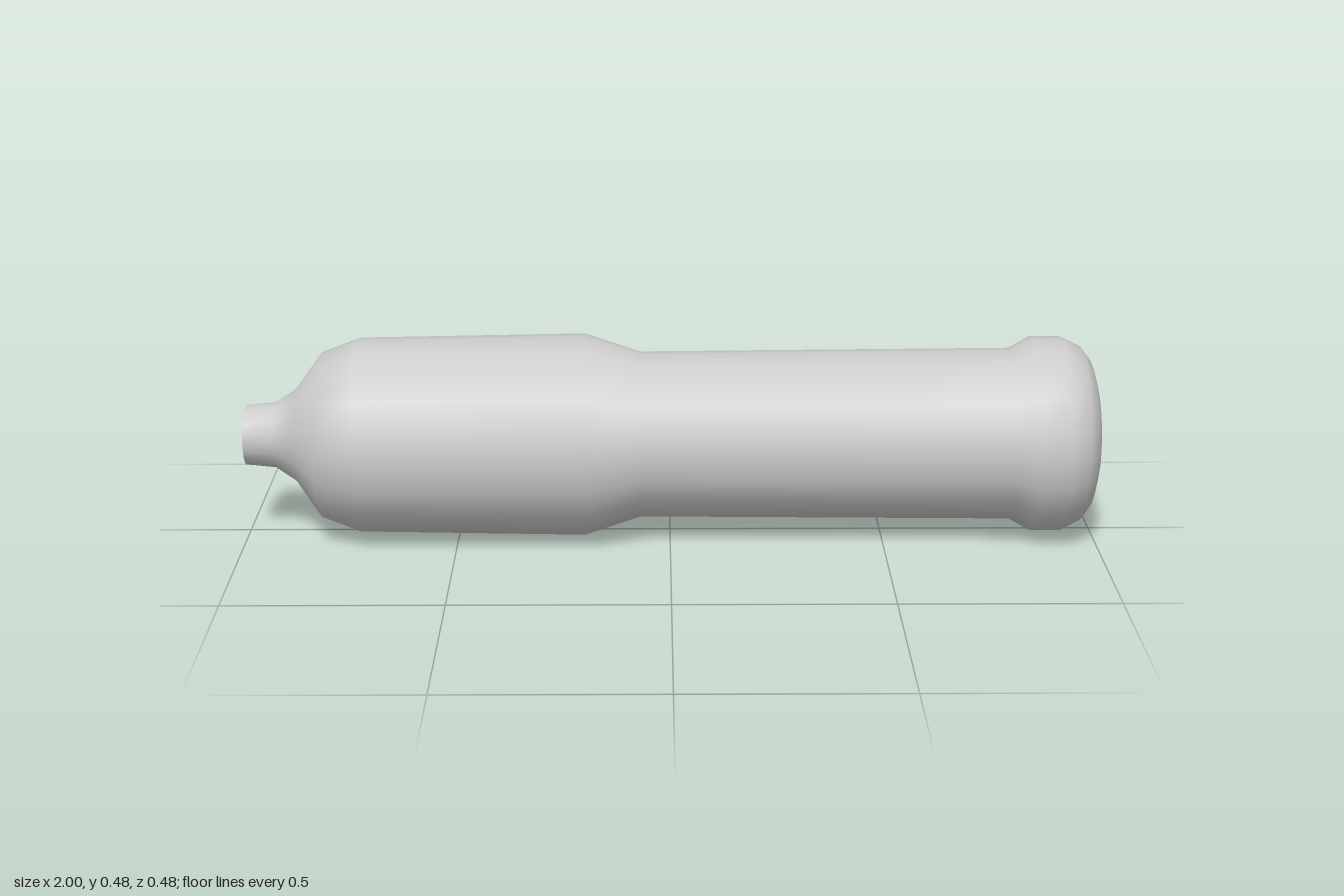
import * as THREE from 'three';

const SIDES = 20;
const AXIS_HEIGHT = 0.238;

export function createModel() {
  const model = new THREE.Group();
  model.name = 'barrel';
  const material = new THREE.MeshStandardMaterial({ color: 0xcccccc });

  // Turns a profile of [x, radius] pairs around the long axis
  const turned = (name, profile) => {
    const points = profile.map(([x, r]) => new THREE.Vector2(r, x));
    const geometry = new THREE.LatheGeometry(points, SIDES);
    geometry.rotateZ(-Math.PI / 2);
    const mesh = new THREE.Mesh(geometry, material);
    mesh.name = name;
    mesh.position.y = AXIS_HEIGHT;
    model.add(mesh);
  };

  // Flat end of the rear neck
  turned('rearCap', [[-1, 0], [-1, 0.07]]);

  // Outer skin: neck, rounded breech, step, slim barrel and muzzle ring
  turned('outerShell', [
    [-1, 0.07], [-0.93, 0.077], [-0.88, 0.11], [-0.82, 0.195], [-0.73, 0.229],
    [-0.2, 0.238], [-0.07, 0.195], [0.8, 0.202], [0.85, 0.23], [0.92, 0.23],
    [0.965, 0.208], [0.988, 0.175], [1, 0.133],
  ]);

  // Narrow lip inside the muzzle
  turned('muzzleLip', [[1, 0.133], [0.965, 0.126]]);

  // Bore, tapering towards its rear end
  turned('bore', [
    [0.965, 0.126], [-0.6, 0.122], [-0.75, 0.108], [-0.85, 0.075], [-0.92, 0.053],
  ]);
  turned('boreEnd', [[-0.92, 0.053], [-0.92, 0]]);

  return model;
}
